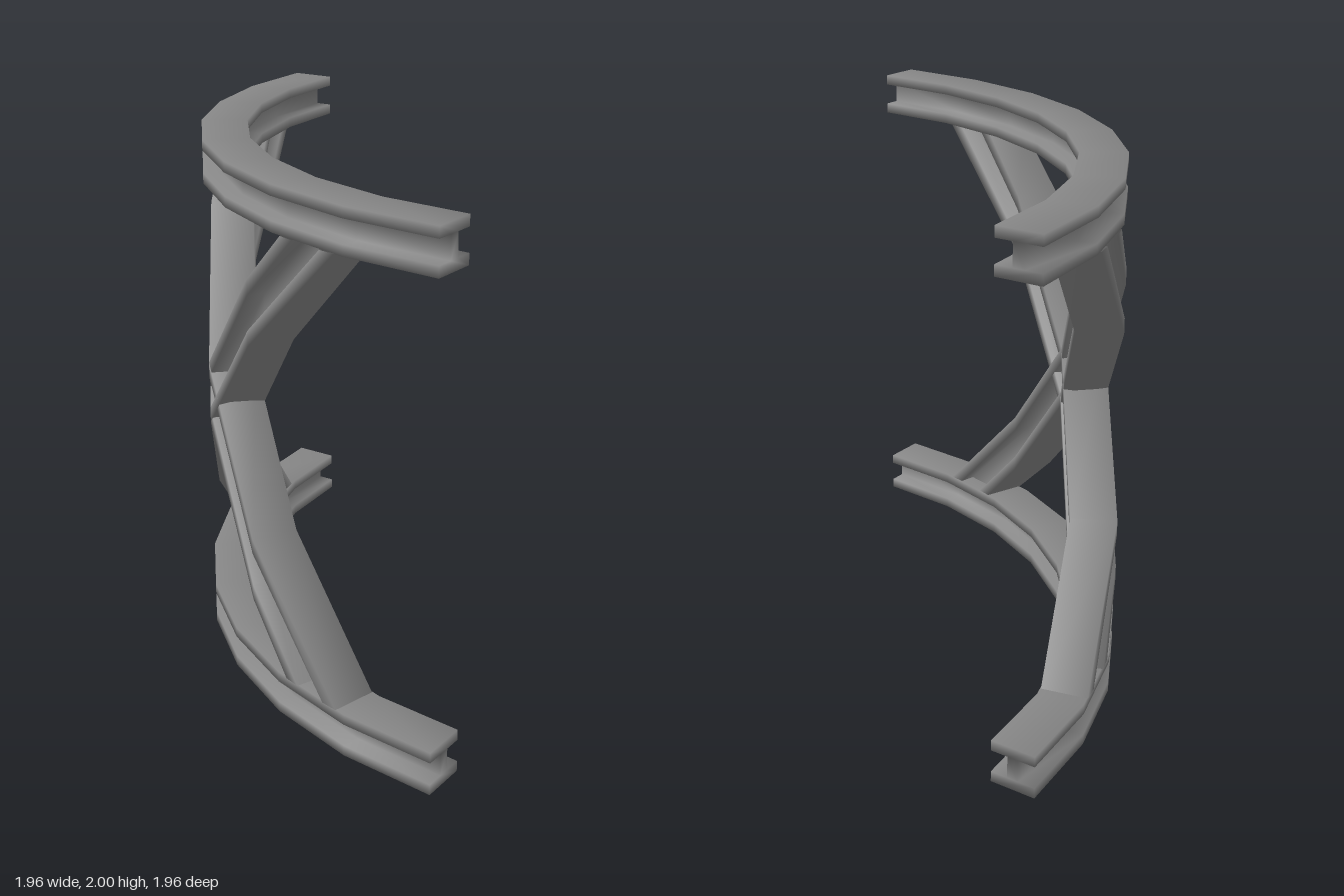
import * as THREE from 'three';

const CENTRE = 0.98;           // arc centre is at x = +CENTRE, z = -CENTRE
const R_IN = 1.78, R_OUT = 1.96;
const FLOOR = 0.165;           // height of a ring beam
const RISE = 0.0295;           // climb of a brace per degree of arc

// I-section in (radius, height), counter-clockwise, centred on height 0
function iSection(height, flange) {
  const h = height / 2, w = h - flange;
  const webIn = R_IN + 0.068, webOut = R_OUT - 0.068;
  return [
    [R_IN, -h], [R_OUT, -h], [R_OUT, -w], [webOut, -w], [webOut, w], [R_OUT, w],
    [R_OUT, h], [R_IN, h], [R_IN, w], [webIn, w], [webIn, -w], [R_IN, -w],
  ];
}

const onArc = (r, deg, y) => {
  const a = THREE.MathUtils.degToRad(deg);
  return [CENTRE - r * Math.cos(a), y, -CENTRE + r * Math.sin(a)];
};

// Sweep a section; place(point, i) gives the position at station i.
// Corners share their vertices, so the shading is smooth all round.
function sweep(section, steps, place, capped) {
  const pos = [], index = [], n = section.length;
  for (let i = 0; i <= steps; i++) {
    section.forEach((p, k) => {
      pos.push(...place(p, i));
      if (i === steps) return;
      const a0 = i * n + k, b0 = i * n + (k + 1) % n;
      index.push(a0, a0 + n, b0, b0, a0 + n, b0 + n);
    });
  }
  if (capped) {
    const outline = section.map((p) => new THREE.Vector2(...p));
    const end = steps * n;
    for (const [a, b, c] of THREE.ShapeUtils.triangulateShape(outline, [])) {
      index.push(a, b, c, end + a, end + c, end + b);
    }
  }
  const geo = new THREE.BufferGeometry();
  geo.setAttribute('position', new THREE.Float32BufferAttribute(pos, 3));
  geo.setIndex(index);
  geo.computeVertexNormals();
  return geo;
}

// Quarter-circle beam lying level at height y
function ringBeam(y) {
  const steps = 8;
  return sweep(iSection(FLOOR, 0.04), steps,
    ([r, v], i) => onArc(r, (90 * i) / steps, y + v), true);
}

// Diagonal beam that follows the arc, its ends cut level against the ring beams
function brace(dir) {
  const slope = dir * RISE;
  const reach = dir * (1 - FLOOR);
  const place = ([r, v], i) => {
    const deg = [45 + (-reach - v) / slope, 28.1, 45, 61.9, 45 + (reach - v) / slope][i];
    return onArc(r, deg, 1 + slope * (deg - 45) + v);
  };
  return sweep(iSection(0.248, 0.06), 4, place, false);
}

export function createModel() {
  const model = new THREE.Group();
  model.name = 'curvedTruss';
  const steel = new THREE.MeshStandardMaterial({ color: 0x858585, side: THREE.DoubleSide });
  const add = (name, geo) => {
    const mesh = new THREE.Mesh(geo, steel);
    mesh.name = name;
    model.add(mesh);
  };
  add('bottomBeam', ringBeam(FLOOR / 2));
  add('topBeam', ringBeam(2 - FLOOR / 2));
  add('risingBrace', brace(1));
  add('fallingBrace', brace(-1));
  return model;
}
